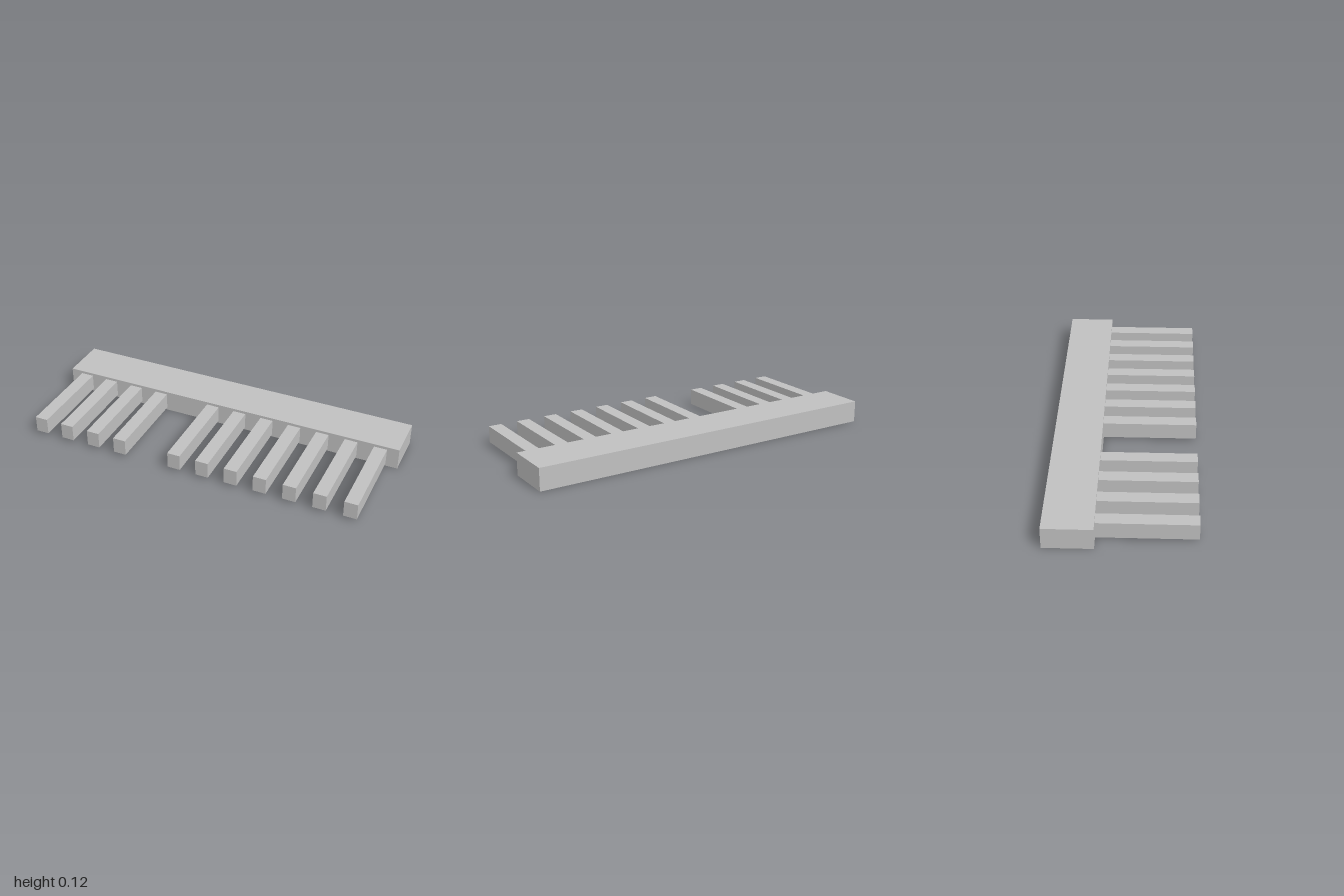
import * as THREE from 'three';

export function createModel() {
  const group = new THREE.Group();
  group.name = 'comb';
  const grey = new THREE.MeshStandardMaterial({ color: 0xc0c0c0 });
  grey.name = 'plain grey';

  // Box spanning z0..z1 and y0..y1, centred on x
  function bar(name, x, width, y0, y1, z0, z1) {
    const mesh = new THREE.Mesh(new THREE.BoxGeometry(width, y1 - y0, z1 - z0), grey);
    mesh.name = name;
    mesh.position.set(x, (y0 + y1) / 2, (z0 + z1) / 2);
    group.add(mesh);
  }

  // Spine along the back
  bar('spine', 0, 2, 0, 0.12, -0.38, -0.125);

  // Twelve evenly spaced tooth positions, with the fifth tooth missing
  const count = 12, missing = 4, reach = 0.898;
  for (let i = 0; i < count; i++) {
    if (i === missing) continue;
    const x = -reach + (2 * reach * i) / (count - 1);
    bar('tooth', x, 0.072, 0.015, 0.105, -0.127, 0.38);
  }
  return group;
}
